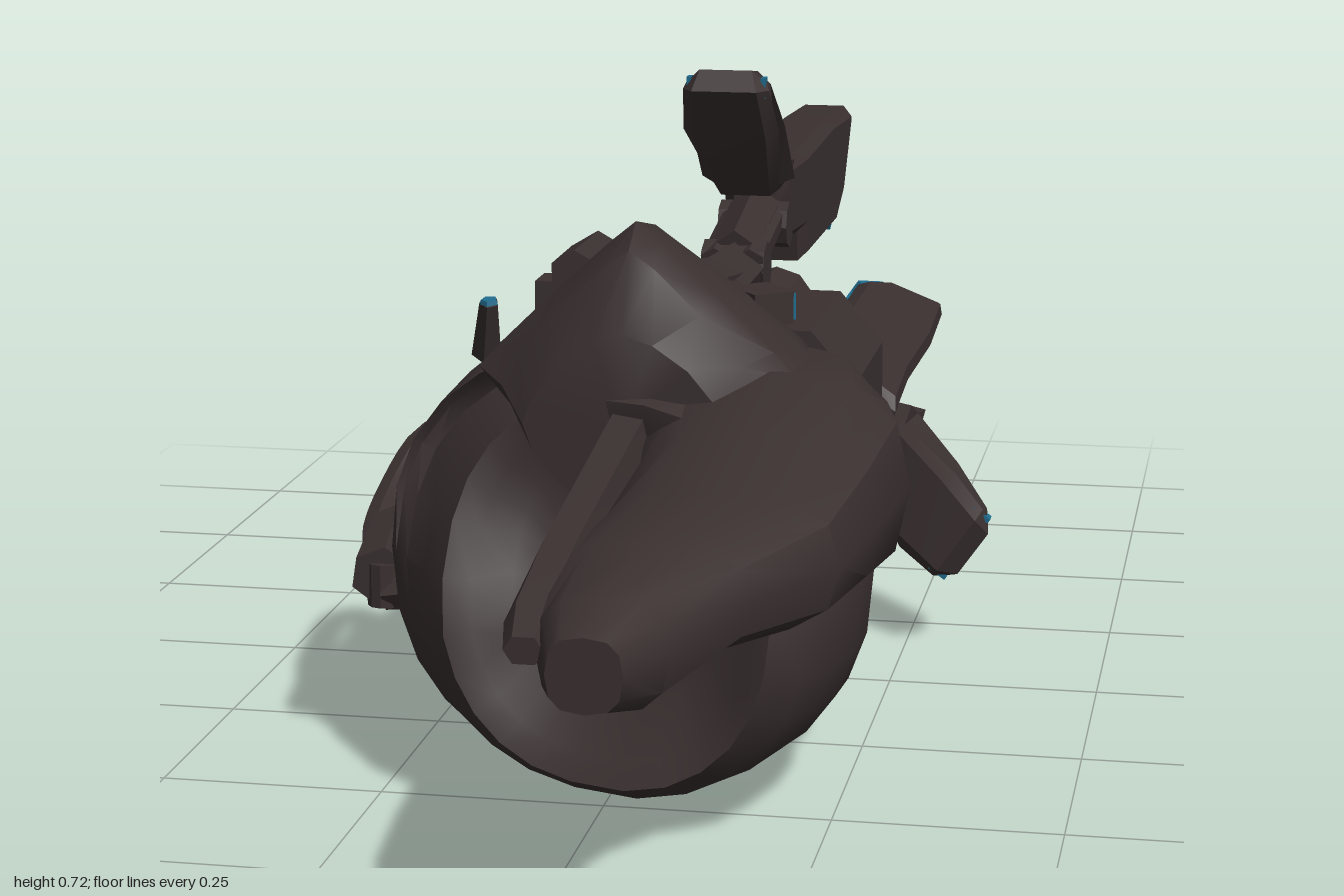
import * as THREE from 'three';
import { toCreasedNormals } from 'three/addons/utils/BufferGeometryUtils.js';

const dark = new THREE.MeshStandardMaterial({ color: 0x3a3030 });
dark.name = 'dark brown shell';
const blue = new THREE.MeshStandardMaterial({ color: 0x1f6a8c });
blue.name = 'blue glow';

function add(parent, name, geo, mat = dark, crease = 0.5) {
  const mesh = new THREE.Mesh(toCreasedNormals(geo, crease), mat);
  mesh.name = name;
  parent.add(mesh);
  return mesh;
}

// Skin over oval sections [z, xMin, xMax, yMin, yMax, power]; power 1 is an ellipse, 2 a diamond
function loft(sections, sides = 18) {
  const pos = [], idx = [], n = sections.length;
  for (const [z, x0, x1, y0, y1, p = 0.85] of sections) {
    for (let j = 0; j < sides; j++) {
      const a = (j / sides) * Math.PI * 2, c = Math.cos(a), s = Math.sin(a);
      pos.push((x0 + x1) / 2 + (x1 - x0) / 2 * Math.sign(c) * Math.abs(c) ** p,
        (y0 + y1) / 2 + (y1 - y0) / 2 * Math.sign(s) * Math.abs(s) ** p, z);
    }
  }
  for (const [z, x0, x1, y0, y1] of [sections[0], sections[n - 1]]) pos.push((x0 + x1) / 2, (y0 + y1) / 2, z);
  for (let j = 0; j < sides; j++) {
    const k = (j + 1) % sides, last = (n - 1) * sides;
    for (let i = 0; i < n - 1; i++) {
      const a = i * sides + j, b = i * sides + k;
      idx.push(a, b, b + sides, a, b + sides, a + sides);
    }
    idx.push(n * sides, k, j, n * sides + 1, last + j, last + k);
  }
  const g = new THREE.BufferGeometry();
  g.setAttribute('position', new THREE.Float32BufferAttribute(pos, 3));
  g.setIndex(idx);
  return g;
}

// Side profile in (z, y), extruded across x with bevelled edges
function plate(points, width, bevel = 0) {
  const shape = new THREE.Shape(points.map(([z, y]) => new THREE.Vector2(z, y)));
  const g = new THREE.ExtrudeGeometry(shape, {
    depth: width - 2 * bevel, bevelEnabled: bevel > 0, bevelSize: bevel, bevelOffset: -bevel,
    bevelThickness: bevel, bevelSegments: 1,
  });
  return g.translate(0, 0, bevel - width / 2).rotateY(-Math.PI / 2);
}

// Tapered faceted rod between two points
function rod(parent, name, a, b, ra, rb, sides = 6, mat = dark) {
  const A = new THREE.Vector3(...a), B = new THREE.Vector3(...b), d = B.clone().sub(A);
  const m = add(parent, name, new THREE.CylinderGeometry(rb, ra, d.length(), sides), mat);
  m.position.copy(A).add(B).multiplyScalar(0.5);
  m.quaternion.setFromUnitVectors(new THREE.Vector3(0, 1, 0), d.normalize());
}

// One tail arm pointing up; the scales set how far blade, fin and linkage sit from the core
function tailArm(blade, finScale, link) {
  const arm = new THREE.Group();
  add(arm, 'tailBlade', plate([[-0.38, 0.2], [-0.42, 0.14], [-0.55, 0.13], [-0.56, 0.088], [-0.84, 0.086],
    [-0.92, 0.12], [-1, 0.215], [-1, 0.238], [-0.8, 0.247], [-0.56, 0.242], [-0.38, 0.25]], 0.085, 0.014)
    .scale(1, blade, 1));
  add(arm, 'bladeGlow', plate([[-0.84, 0.082], [-0.836, 0.09], [-0.92, 0.126], [-0.997, 0.216],
    [-1, 0.209], [-0.923, 0.117]], 0.066).scale(1, blade, 1), blue);
  add(arm, 'bladeEdgeGlow', plate([[-0.84, 0.082], [-0.75, 0.082], [-0.75, 0.09], [-0.84, 0.09]], 0.03)
    .scale(1, blade, 1), blue);
  const fin = plate([[-0.42, 0.215], [-0.3, 0.22], [-0.18, 0.31], [-0.135, 0.375], [-0.15, 0.4],
    [-0.185, 0.395], [-0.25, 0.33], [-0.33, 0.255], [-0.42, 0.25]], 0.12, 0.015);
  const p = fin.attributes.position;
  for (let i = 0; i < p.count; i++) {
    const y = p.getY(i);
    p.setX(i, p.getX(i) * (y > 0.36 ? 1 - (y - 0.36) * 7 : y < 0.24 ? 0.7 : 1));
  }
  add(arm, 'sweptFin', fin.scale(1, finScale, 1));
  for (const s of [-1, 1]) {
    add(arm, 'finTipGlow', new THREE.BoxGeometry(0.006, 0.025, 0.018)
      .translate(s * 0.046, 0.378 * finScale, -0.16), blue);
    rod(arm, 'linkRod', [s * 0.022, 0.15 * link, -0.2], [s * 0.025, 0.19 * blade, -0.42], 0.02, 0.016);
  }
  rod(arm, 'linkBar', [0, 0.18 * link, 0.2], [0, 0.14 * link, -0.1], 0.045, 0.038);
  rod(arm, 'linkBar', [0, 0.14 * link, -0.02], [0, 0.13 * link, -0.27], 0.05, 0.04, 5);
  rod(arm, 'linkBar', [0, 0.16 * link, -0.22], [0, 0.2 * blade, -0.45], 0.03, 0.035, 5);
  rod(arm, 'linkPivot', [-0.045, 0.17 * blade, -0.38], [0.045, 0.17 * blade, -0.38], 0.03, 0.03, 8);
  rod(arm, 'linkPivot', [-0.04, 0.14 * link, -0.23], [0.04, 0.14 * link, -0.23], 0.035, 0.035, 8);
  return arm;
}

// Small housing with a glowing rear face
function glowPort(parent, x, y, z, turn) {
  const port = new THREE.Group();
  port.name = 'glowPort';
  add(port, 'portHousing', new THREE.BoxGeometry(0.062, 0.038, 0.05).translate(0, 0, 0.028));
  add(port, 'portGlow', new THREE.BoxGeometry(0.052, 0.03, 0.006), blue);
  port.position.set(x, y, z);
  port.rotation.y = turn;
  parent.add(port);
}

export function createModel() {
  const model = new THREE.Group();

  // Round hull with a wide scoop; its mouth leans back towards the top and right flank
  const hull = loft([
    [0.19, -0.2, 0.22, 0.08, 0.46], [0.21, -0.235, 0.25, 0.025, 0.5], [0.3, -0.25, 0.27, 0.012, 0.505],
    [0.4, -0.26, 0.28, 0.015, 0.49], [0.47, -0.252, 0.275, 0.02, 0.48], [0.53, -0.235, 0.26, 0.028, 0.47],
    [0.59, -0.2, 0.235, 0.04, 0.46], [0.622, -0.17, 0.2, 0.058, 0.45], [0.605, -0.14, 0.175, 0.085, 0.42],
    [0.565, -0.1, 0.14, 0.13, 0.38], [0.54, -0.05, 0.09, 0.18, 0.33],
  ], 26);
  const hp = hull.attributes.position;
  for (let i = 0; i < hp.count; i++) {
    const t = THREE.MathUtils.clamp((hp.getZ(i) - 0.4) / 0.15, 0, 1);
    hp.setZ(i, hp.getZ(i) - t * (Math.max(0, hp.getY(i) - 0.22) * 0.5 + Math.max(0, 0.07 - hp.getX(i)) * 0.33));
  }
  add(model, 'hull', hull, dark, 0.8);

  // Offset snout reaching forward, with a prong and a recessed barrel beside it
  add(model, 'snout', loft([
    [0.21, 0.05, 0.26, 0.22, 0.46, 0.7], [0.32, 0.03, 0.295, 0.22, 0.47, 0.7], [0.43, 0.02, 0.322, 0.235, 0.475, 0.75],
    [0.55, 0.04, 0.305, 0.25, 0.44, 0.75], [0.7, 0.035, 0.285, 0.265, 0.412, 0.75], [0.82, 0.015, 0.215, 0.275, 0.39, 0.75],
    [0.93, 0.025, 0.155, 0.25, 0.365, 0.75], [1, 0.05, 0.125, 0.27, 0.345, 0.75],
  ], 12), dark, 0.7);
  add(model, 'snoutProng', loft([[0.45, -0.005, 0.06, 0.3, 0.45], [0.8, -0.008, 0.05, 0.3, 0.385],
    [0.9, -0.012, 0.045, 0.3, 0.35], [0.955, 0, 0.04, 0.3, 0.33]], 6), dark, 0.3);
  rod(model, 'barrel', [0.015, 0.28, 0.4], [0.015, 0.28, 0.7], 0.031, 0.031, 6);
  rod(model, 'barrelGlow', [0.015, 0.28, 0.699], [0.015, 0.28, 0.705], 0.026, 0.026, 6, blue);

  // Ridged hood and spine along the top
  add(model, 'hood', loft([
    [-0.06, -0.04, 0.08, 0.36, 0.49, 1], [0.08, -0.06, 0.1, 0.36, 0.515, 1.1], [0.17, -0.11, 0.15, 0.34, 0.535, 1.2],
    [0.21, -0.15, 0.19, 0.32, 0.56, 1.6], [0.3, -0.165, 0.205, 0.3, 0.607, 1.9], [0.41, -0.155, 0.195, 0.3, 0.63, 1.9],
    [0.45, -0.12, 0.16, 0.3, 0.605, 1.7], [0.485, -0.09, 0.13, 0.32, 0.52, 1.3],
  ], 16), dark, 0.6);
  rod(model, 'hoodKnob', [-0.07, 0.54, 0.18], [-0.072, 0.545, 0.3], 0.036, 0.03, 6);
  rod(model, 'sideVent', [-0.165, 0.46, 0.33], [-0.155, 0.525, 0.36], 0.018, 0.011, 5);
  rod(model, 'ventGlow', [-0.155, 0.524, 0.36], [-0.155, 0.529, 0.361], 0.011, 0.009, 5, blue);

  // Core tube
  rod(model, 'core', [0.02, 0.345, 0.22], [0.02, 0.345, -0.56], 0.062, 0.054, 10);
  rod(model, 'coreCollar', [0.02, 0.335, 0.22], [0.02, 0.335, -0.06], 0.12, 0.1, 8);
  rod(model, 'coreNeck', [0.02, 0.335, -0.05], [0.02, 0.335, -0.26], 0.095, 0.065, 8);
  rod(model, 'coreGlow', [0.02, 0.345, -0.556], [0.02, 0.345, -0.564], 0.035, 0.035, 8, blue);

  for (const s of [-1, 1]) {
    // Side pods with chamfered outer edges
    const pod = new THREE.Shape([[0.03, 0.23], [0.14, 0.22], [0.195, 0.27], [0.212, 0.3], [0.212, 0.41], [0.16, 0.47],
      [0.06, 0.47], [0.03, 0.44]].map(([x, y]) => new THREE.Vector2(s * x, y)));
    add(model, 'sidePod', new THREE.ExtrudeGeometry(pod, { depth: 0.24, bevelEnabled: false })
      .translate(0.018, 0, -0.05));
    rod(model, 'podRail', [0.02 + s * 0.2, 0.3, 0.2], [0.02 + s * 0.2, 0.3, -0.055], 0.015, 0.015, 8);
    rod(model, 'podMount', [0.02 + s * 0.11, 0.34, 0.24], [0.02 + s * 0.11, 0.34, 0.17], 0.085, 0.085, 8);
    // Feet and lower struts sweeping back and inwards
    add(model, 'foot', loft([[0.14, -0.03, 0.03, 0.012, 0.08], [0.19, -0.04, 0.04, 0, 0.11],
      [0.3, -0.046, 0.046, 0.016, 0.15]], 8).translate(0.02 + s * 0.137, 0, 0), dark, 0.3);
    rod(model, 'lowerStrut', [0.02 + s * 0.13, 0.06, 0.2], [0.02 + s * 0.08, 0.14, -0.1], 0.042, 0.022, 6);
    rod(model, 'lowerStrut', [0.02 + s * 0.08, 0.14, -0.08], [0.02 + s * 0.12, 0.2, -0.36], 0.026, 0.032, 6);
  }
  glowPort(model, -0.1, 0.508, 0.188, 0);
  glowPort(model, 0.145, 0.502, 0.19, -0.9);
  glowPort(model, 0.185, 0.176, 0.168, -0.7);

  // Three tail arms around the core, the lower two closer in
  const lowerTurn = 2.18;
  for (const [name, turn, y, ...scales] of [['topTailArm', 0, 0.32, 1, 1, 1],
    ['rightTailArm', lowerTurn, 0.341, 0.83, 0.955, 0.5], ['leftTailArm', -lowerTurn, 0.341, 0.83, 0.955, 0.5]]) {
    const arm = tailArm(...scales);
    arm.name = name;
    arm.position.set(0.02, y, 0);
    arm.rotation.z = turn;
    model.add(arm);
  }

  // Looped handle on the right flank
  const loop = new THREE.CatmullRomCurve3([[-0.265, 0.22, 0.34], [-0.32, 0.21, 0.25], [-0.335, 0.24, 0.12],
    [-0.315, 0.285, 0.025], [-0.28, 0.3, 0.015], [-0.268, 0.29, 0.08], [-0.28, 0.25, 0.2], [-0.29, 0.22, 0.27],
  ].map(v => new THREE.Vector3(...v)));
  add(model, 'handleLoop', new THREE.TubeGeometry(loop, 28, 0.019, 6), dark, 0.6);
  rod(model, 'handleGrip', [-0.31, 0.215, 0.2], [-0.285, 0.205, 0.36], 0.033, 0.035, 6);
  rod(model, 'handlePin', [-0.283, 0.17, 0.35], [-0.283, 0.22, 0.35], 0.02, 0.02, 10);
  rod(model, 'handleMount', [-0.283, 0.185, 0.35], [-0.2, 0.2, 0.35], 0.022, 0.03, 6);
  return model;
}
